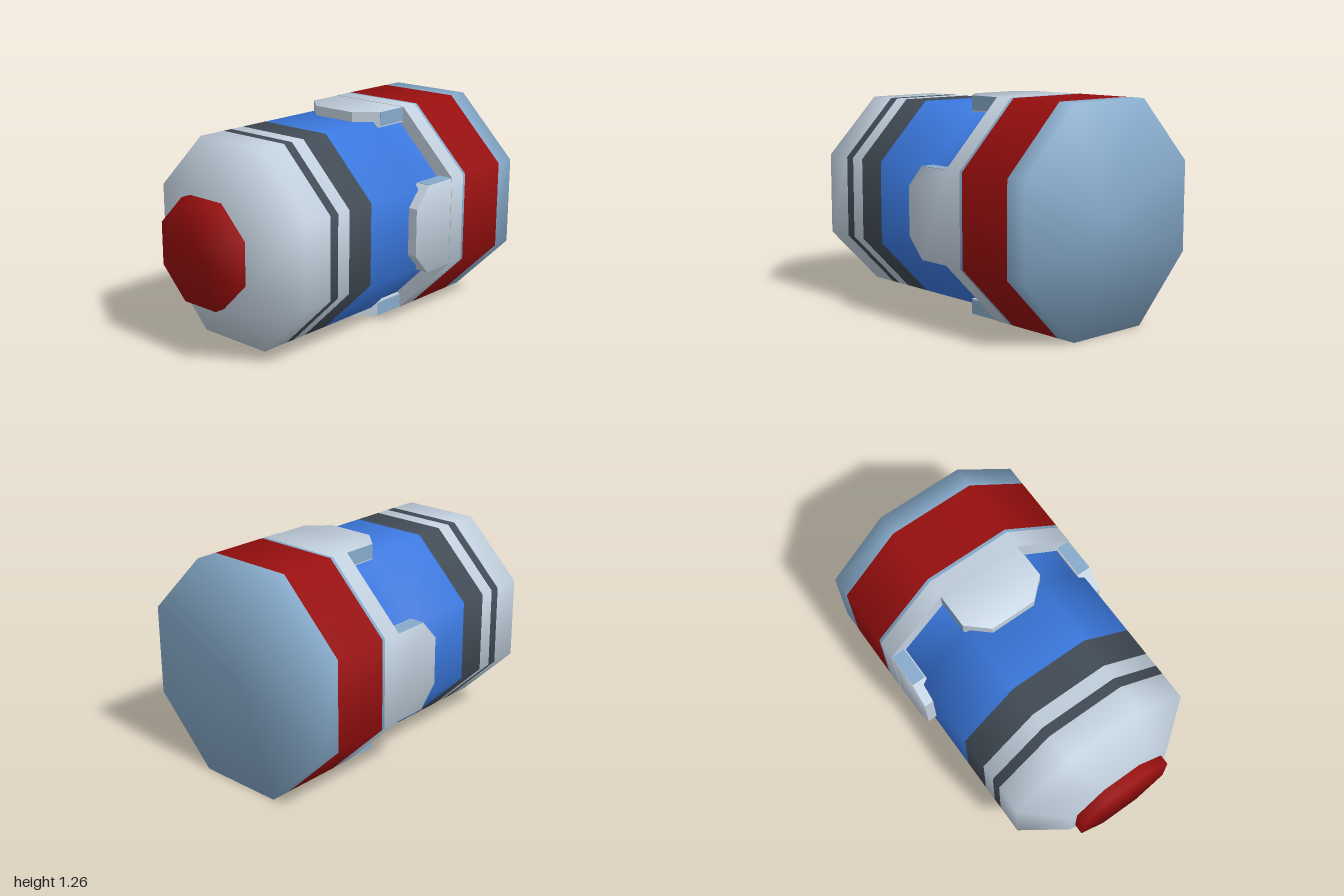
import * as THREE from 'three';

const mat = (name, color) => {
  const m = new THREE.MeshStandardMaterial({ color });
  m.name = name;
  return m;
};

// Eight-sided turned part along z; profile is [flat radius, z] from back to front.
// Normals blend softly round the octagon and along the profile.
function octagon(name, profile, material) {
  const k = 1 / Math.cos(Math.PI / 8);
  const pts = profile.map(([r, z]) => new THREE.Vector2(r * k, z));
  const geo = new THREE.LatheGeometry(pts, 8, Math.PI / 8);
  const seg = pts.slice(1).map((p, i) =>
    new THREE.Vector2(p.y - pts[i].y, pts[i].x - p.x).normalize());
  const normal = geo.attributes.normal;
  for (let i = 0; i <= 8; i++) {
    const a = Math.PI / 8 + (i * Math.PI) / 4;
    pts.forEach((p, j) => {
      const n = new THREE.Vector2();
      if (seg[j - 1]) n.add(seg[j - 1]);
      if (seg[j]) n.add(seg[j]);
      n.normalize();
      normal.setXYZ(i * pts.length + j, n.x * Math.sin(a), n.y, n.x * Math.cos(a));
    });
  }
  geo.rotateX(Math.PI / 2);
  const mesh = new THREE.Mesh(geo, material);
  mesh.name = name;
  return mesh;
}

// Clasp tab lying on the top flat, chamfered towards the front
function tabGeometry() {
  const outline = [[-0.26, 0.4], [-0.26, 0.19], [-0.14, 0.08], [0.14, 0.08], [0.26, 0.19], [0.26, 0.4]];
  const shape = new THREE.Shape(outline.map(([x, y]) => new THREE.Vector2(x, y)));
  const geo = new THREE.ExtrudeGeometry(shape, { depth: 0.09, bevelEnabled: false });
  geo.rotateX(-Math.PI / 2).translate(0, 0.54, 0);
  // soften the outer face so it follows the round of the collar
  const p = geo.attributes.position, n = geo.attributes.normal;
  const v = new THREE.Vector3();
  for (let i = 0; i < p.count; i++) {
    if (n.getY(i) < 0.9) continue;
    v.set(p.getX(i), p.getY(i), p.getZ(i) > -0.3 ? 0.35 : 0).normalize();
    n.setXYZ(i, v.x, v.y, v.z);
  }
  return geo;
}

export function createModel() {
  const light = mat('pale grey', 0xc2d0de);
  const steel = mat('steel blue', 0x86aaca);
  const red = mat('deep red', 0x980e0e);
  const dark = mat('dark slate', 0x424c56);
  const blue = mat('bright blue', 0x3b79e0);

  const model = new THREE.Group();
  model.name = 'capsule';
  const body = new THREE.Group();
  body.name = 'body';
  body.position.y = 0.632;
  model.add(body);

  const R = 0.632, B = 0.573;
  body.add(
    // wide rear section
    octagon('rearCap', [[0, -1], [R, -1], [R, -0.875]], steel),
    octagon('rearBand', [[R, -0.875], [R, -0.53]], red),
    octagon('rearTrim', [[R, -0.53], [R, -0.51]], steel),
    octagon('collar', [[R, -0.51], [R, -0.4]], light),
    octagon('collarFace', [[R, -0.4], [0.54, -0.4]], light),
    // narrower barrel
    octagon('barrel', [[0.55, -0.4], [0.55, -0.19], [B, -0.16], [B, 0.25]], blue),
    octagon('wideBand', [[B, 0.25], [B, 0.43]], dark),
    octagon('paleBand', [[B, 0.43], [B, 0.52]], light),
    octagon('narrowBand', [[B, 0.52], [B, 0.58]], dark),
    octagon('nose', [[B, 0.58], [B, 0.75], [0.335, 0.94], [0, 0.94]], light),
    octagon('button', [[0.297, 0.93], [0.297, 1], [0, 1]], red),
  );

  // four tabs reaching forward from the collar
  const tabGeo = tabGeometry();
  const sideGeo = new THREE.BoxGeometry(0.004, 0.082, 0.21);
  for (let i = 0; i < 4; i++) {
    const tab = new THREE.Group();
    tab.name = 'tab';
    tab.rotation.z = (i * Math.PI) / 2;
    const plate = new THREE.Mesh(tabGeo, light);
    plate.name = 'tabPlate';
    tab.add(plate);
    for (const s of [-1, 1]) {
      const side = new THREE.Mesh(sideGeo, steel);
      side.name = 'tabSide';
      side.position.set(s * 0.26, 0.588, -0.295);
      tab.add(side);
    }
    body.add(tab);
  }
  return model;
}
